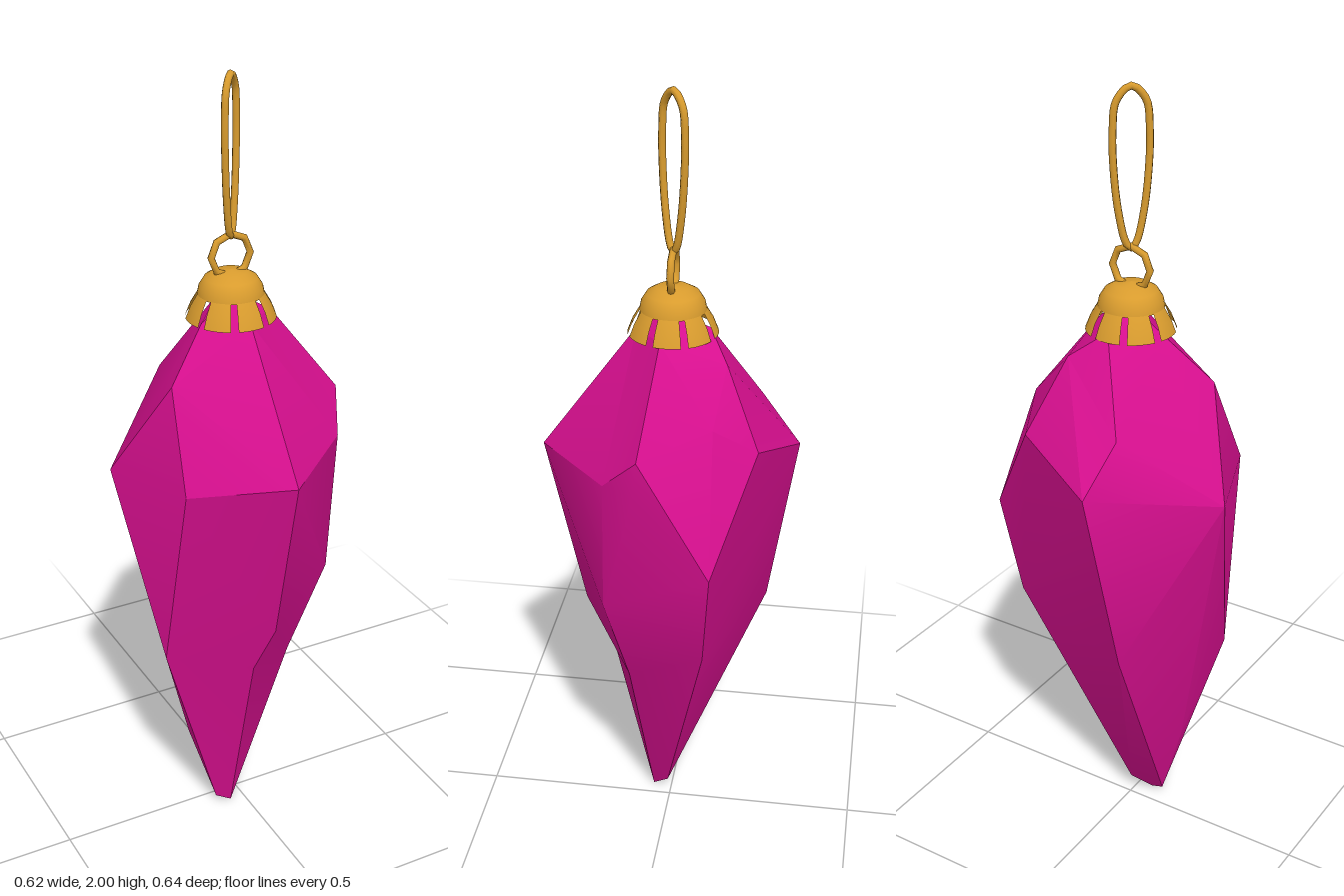
import * as THREE from 'three';
import { ConvexGeometry } from 'three/addons/geometries/ConvexGeometry.js';
import { toCreasedNormals } from 'three/addons/utils/BufferGeometryUtils.js';

const pink = new THREE.MeshStandardMaterial({ color: 0xd60f8e });
const gold = new THREE.MeshStandardMaterial({ color: 0xd99c2e, side: THREE.DoubleSide });

// Corners of the faceted crystal, from the crown down to the tip
const CORNERS = [
  [0, 1.47, 0], [0.09, 1.42, 0.01], [-0.09, 1.41, 0], [0, 1.42, 0.08], [0, 1.43, -0.1],
  [0.08, 1.37, -0.15], [-0.2, 1.29, 0.06], [0.19, 1.25, -0.13], [-0.1, 1.22, -0.22],
  [0.265, 1.19, 0.04], [0.15, 1.18, -0.235], [0.265, 1.1, 0.05], [0.22, 1.1, 0.13],
  [0, 1.09, 0.32], [-0.07, 1.1, -0.32], [-0.22, 1.05, 0.17], [-0.31, 1.04, -0.07],
  [0.31, 0.91, -0.14], [0.19, 0.74, 0.14], [0.26, 0.65, -0.12], [0, 0.64, 0.22],
  [-0.12, 0.62, -0.245], [-0.24, 0.55, 0.08], [-0.03, 0.5, 0.16], [0.11, 0.48, 0.09],
  [-0.15, 0.25, 0.02], [-0.08, 0.02, 0.04], [-0.04, 0, 0.05], [0, 0.05, 0.005],
].map(c => new THREE.Vector3(...c));

// Facets are found on corners pushed toward an ellipsoid, then moved back,
// so shallow dents survive
function crystalGeometry() {
  const centre = new THREE.Vector3(0, 0.85, 0);
  const axes = new THREE.Vector3(0.32, 0.85, 0.32);
  const pushed = CORNERS.map(p => {
    const onEllipsoid = p.clone().sub(centre).divide(axes).normalize().multiply(axes).add(centre);
    return p.clone().lerp(onEllipsoid, 0.6);
  });
  const geometry = new ConvexGeometry(pushed);
  const pos = geometry.attributes.position;
  const v = new THREE.Vector3();
  for (let i = 0; i < pos.count; i++) {
    v.fromBufferAttribute(pos, i);
    let best = 0;
    pushed.forEach((q, j) => {
      if (q.distanceToSquared(v) < pushed[best].distanceToSquared(v)) best = j;
    });
    pos.setXYZ(i, ...CORNERS[best].toArray());
  }
  return toCreasedNormals(geometry, 0.4);
}

export function createModel() {
  const group = new THREE.Group();
  const add = (parent, name, geometry, material) => {
    const mesh = new THREE.Mesh(geometry, material);
    mesh.name = name;
    parent.add(mesh);
    return mesh;
  };
  const profile = pts => pts.map(p => new THREE.Vector2(...p));

  add(group, 'crystal', crystalGeometry(), pink);

  const fittings = new THREE.Group();
  fittings.name = 'hangerFittings';
  fittings.position.set(-0.007, 0, -0.008);
  group.add(fittings);

  // Domed cap with eight flared tabs
  const dome = profile([[0.081, 1.47], [0.077, 1.49], [0.064, 1.511], [0.04, 1.525], [0, 1.53]]);
  add(fittings, 'capDome', new THREE.LatheGeometry(dome, 32), gold);
  const tab = profile([[0.11, 1.412], [0.098, 1.443], [0.081, 1.472]]);
  for (let i = 0; i < 8; i++) {
    const start = i * Math.PI / 4 - 0.31;
    add(fittings, 'capTab', new THREE.LatheGeometry(tab, 4, start, 0.62), gold);
  }

  // Eyelet standing on the cap
  add(fittings, 'eyelet', new THREE.TorusGeometry(0.052, 0.009, 8, 8), gold).position.y = 1.565;

  // Teardrop hanging loop, turned diagonally through the eyelet
  const side = [[0.012, 1.625], [0.03, 1.7], [0.041, 1.8], [0.043, 1.89], [0.034, 1.96]];
  const path = [[0, 1.612], ...side, [0, 1.991], ...side.map(([x, y]) => [-x, y]).reverse()];
  const curve = new THREE.CatmullRomCurve3(path.map(([x, y]) => new THREE.Vector3(x, y, 0)), true);
  const loop = add(fittings, 'hangingLoop', new THREE.TubeGeometry(curve, 56, 0.009, 8, true), gold);
  loop.rotation.y = Math.PI / 4;

  return group;
}
